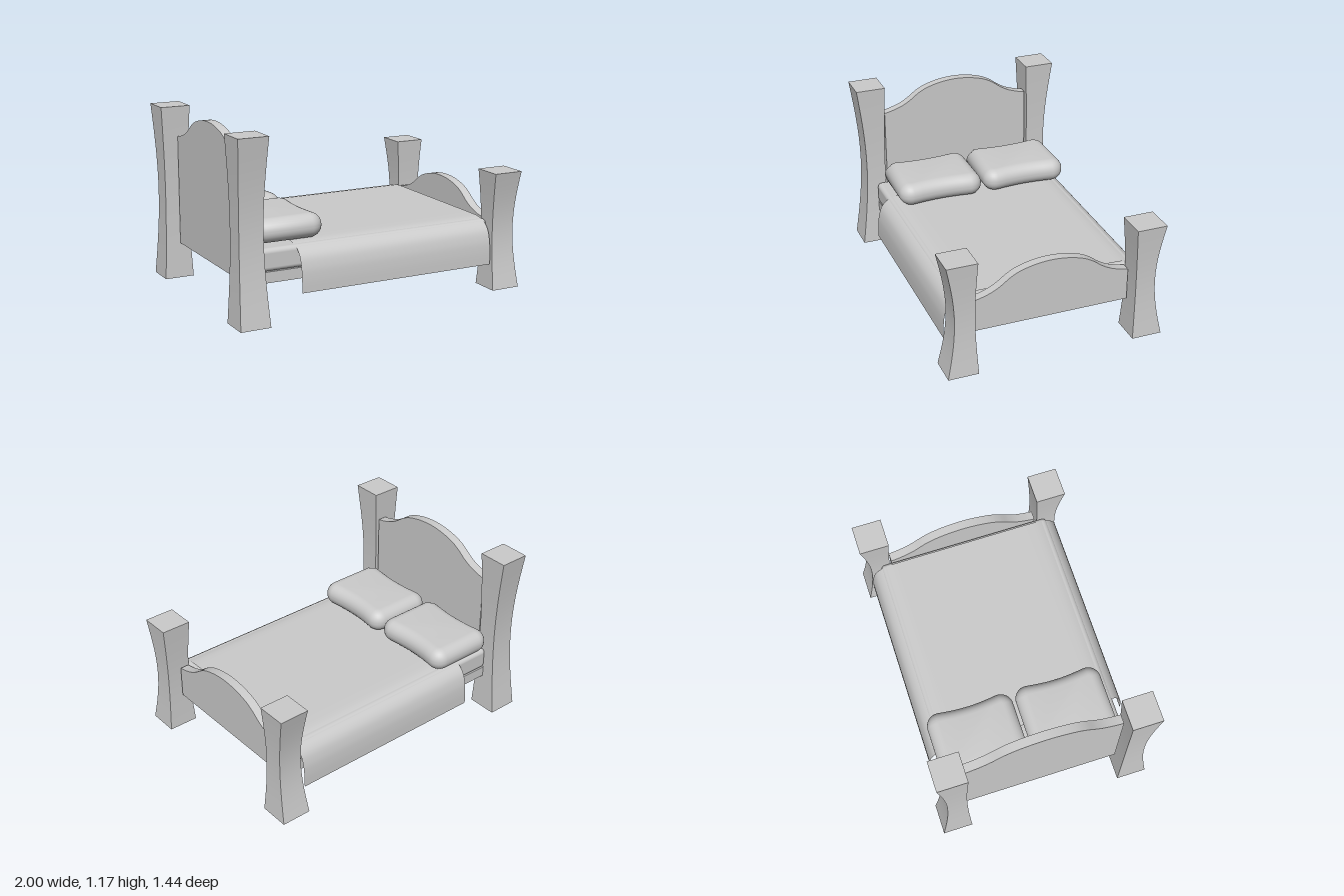
import * as THREE from 'three';
import { toCreasedNormals } from 'three/addons/utils/BufferGeometryUtils.js';
import { RoundedBoxGeometry } from 'three/addons/geometries/RoundedBoxGeometry.js';

const grey = new THREE.MeshStandardMaterial({ color: 0xcccccc });
const sheet = new THREE.MeshStandardMaterial({ color: 0xcccccc, side: THREE.DoubleSide });

function add(group, name, geometry, x = 0, y = 0, z = 0, material = grey) {
  const mesh = new THREE.Mesh(geometry, material);
  mesh.name = name;
  mesh.position.set(x, y, z);
  group.add(mesh);
  return mesh;
}

// Square post with a narrowed waist; side is +1 or -1 along z
function postGeometry(height, side) {
  const g = new THREE.BoxGeometry(0.2, height, 0.2, 1, 14, 1);
  g.translate(0, height / 2, 0);
  const p = g.attributes.position;
  for (let i = 0; i < p.count; i++) {
    const waist = Math.sin(Math.PI * p.getY(i) / height);
    const outer = p.getZ(i) * side > 0;
    p.setX(i, p.getX(i) - Math.sign(p.getX(i)) * 0.02 * waist);
    p.setZ(i, p.getZ(i) - Math.sign(p.getZ(i)) * (outer ? 0.053 : 0.015) * waist);
  }
  g.computeVertexNormals();
  return g;
}

// End board with an arched top, drawn across the bed and extruded along x
function boardGeometry(shoulder) {
  const half = [[0.52, 0], [0.47, 0.01], [0.4, 0.033], [0.34, 0.065], [0.27, 0.115], [0.2, 0.148], [0.1, 0.172]];
  const top = [...half, [0, 0.18], ...half.map(([z, y]) => [-z, y]).reverse()];
  const shape = new THREE.Shape();
  shape.moveTo(-0.52, 0.24);
  shape.lineTo(0.52, 0.24);
  shape.lineTo(0.52, shoulder);
  shape.splineThru(top.slice(1).map(([z, y]) => new THREE.Vector2(z, shoulder + y)));
  shape.closePath();
  const g = new THREE.ExtrudeGeometry(shape, { depth: 0.06, bevelEnabled: false, curveSegments: 28 });
  g.rotateY(Math.PI / 2);
  g.translate(-0.03, 0, 0);
  return toCreasedNormals(g, 0.5);
}

// Cushion with rounded edges and long sides pinched in the middle
function pillowGeometry() {
  const a = 0.158, b = 0.218, c = 0.012, pinch = 0.022;
  const s = new THREE.Shape();
  s.moveTo(-a + c, -b);
  s.lineTo(a - c, -b);
  s.quadraticCurveTo(a, -b, a, -b + c);
  s.bezierCurveTo(a - pinch, -b / 4, a - pinch, b / 4, a, b - c);
  s.quadraticCurveTo(a, b, a - c, b);
  s.lineTo(-a + c, b);
  s.quadraticCurveTo(-a, b, -a, b - c);
  s.bezierCurveTo(-a + pinch, b / 4, -a + pinch, -b / 4, -a, -b + c);
  const g = new THREE.ExtrudeGeometry(s, {
    depth: 0.005, bevelEnabled: true, bevelSize: 0.075, bevelThickness: 0.075, bevelSegments: 8, curveSegments: 8,
  });
  g.translate(0, 0, -0.0025);
  g.rotateX(-Math.PI / 2);
  return toCreasedNormals(g, 0.9);
}

// Thin sheet that follows a draped cross-section over the mattress
function blanketGeometry() {
  const half = [[0.677, 0.17], [0.675, 0.26], [0.667, 0.33], [0.645, 0.395], [0.605, 0.437], [0.55, 0.458], [0.47, 0.466]];
  const profile = [...half.map(([z, y]) => [-z, y]), ...half.slice().reverse()];
  const curve = new THREE.CatmullRomCurve3(profile.map(([z, y]) => new THREE.Vector3(0, y, z)));
  const rows = 60;
  const g = new THREE.PlaneGeometry(1.37, 1, 1, rows);
  const p = g.attributes.position;
  for (let i = 0; i < p.count; i++) {
    const q = curve.getPoint(Math.floor(i / 2) / rows);
    p.setXYZ(i, p.getX(i) + 0.115, Math.min(q.y, 0.466), q.z);
  }
  g.computeVertexNormals();
  return g;
}

export function createModel() {
  const bed = new THREE.Group();
  bed.name = 'bed';

  // Posts and side rails
  for (const side of [1, -1]) {
    const label = side > 0 ? 'Front' : 'Back';
    add(bed, 'headPost' + label, postGeometry(1.17, side), -0.9, 0, 0.62 * side);
    add(bed, 'footPost' + label, postGeometry(0.78, side), 0.9, 0, 0.62 * side);
    add(bed, 'sideRail' + label, new THREE.BoxGeometry(1.65, 0.07, 0.02), 0, 0.275, 0.585 * side);
  }

  // End boards
  add(bed, 'headboard', boardGeometry(0.97), -0.86);
  add(bed, 'footboard', boardGeometry(0.455), 0.86);

  // Bedding
  add(bed, 'mattress', new RoundedBoxGeometry(1.65, 0.145, 1.2, 4, 0.03), 0, 0.3825, 0);
  add(bed, 'blanket', blanketGeometry(), 0, 0, 0, sheet);
  add(bed, 'pillowBack', pillowGeometry(), -0.578, 0.541, -0.342);
  add(bed, 'pillowFront', pillowGeometry(), -0.578, 0.541, 0.265);

  return bed;
}
